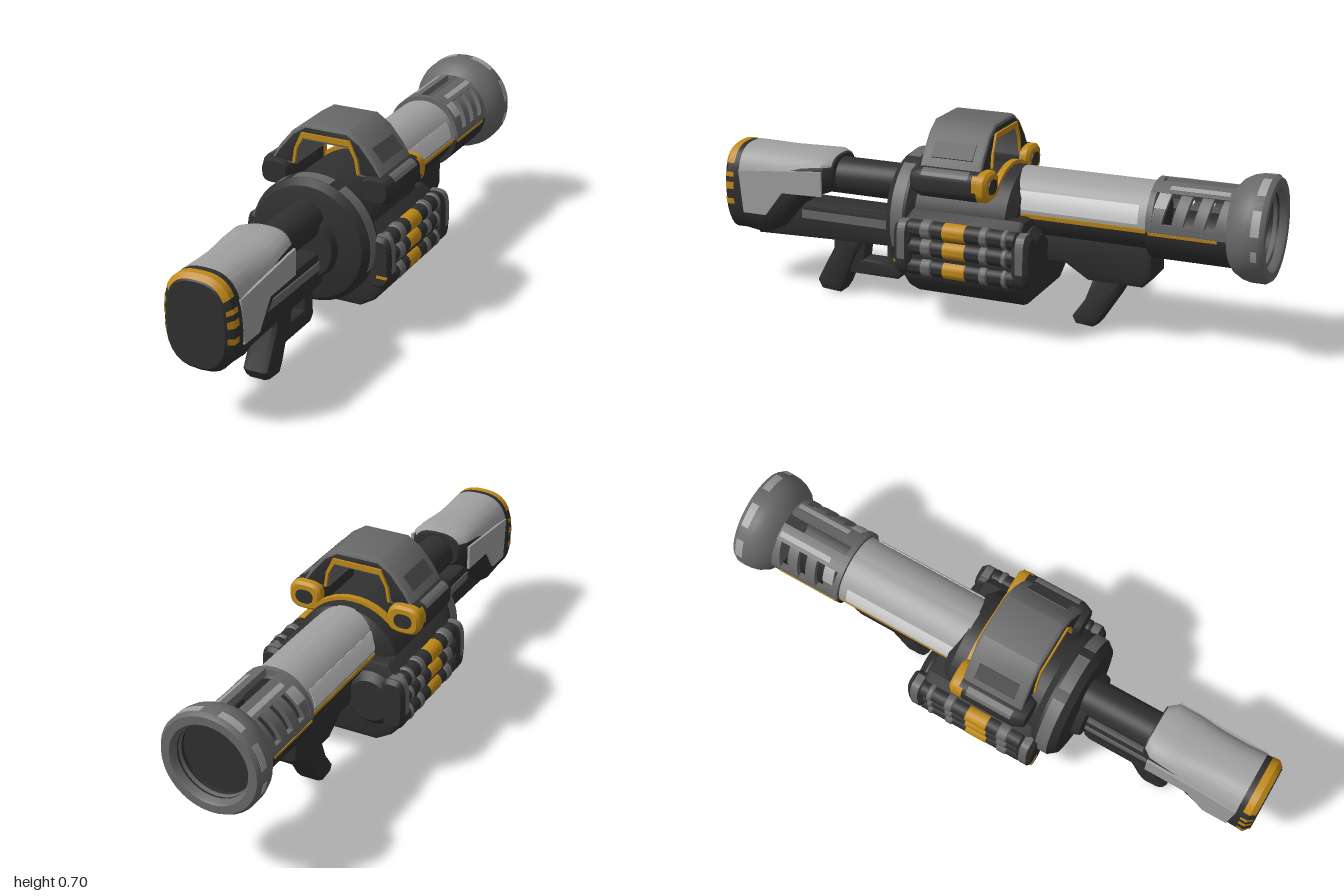
import * as THREE from 'three';
import { toCreasedNormals } from 'three/addons/utils/BufferGeometryUtils.js';

const paint = (name, color, side = THREE.FrontSide) => {
  const m = new THREE.MeshStandardMaterial({ color, side });
  m.name = name;
  return m;
};

export function createModel() {
  const root = new THREE.Group();
  root.name = 'shoulderLauncher';
  const dark = paint('charcoal', 0x303030, THREE.DoubleSide);
  const slate = paint('slate', 0x484848);
  const gray = paint('wornGray', 0x686868, THREE.DoubleSide);
  const light = paint('lightSteel', 0xa0a0a0, THREE.DoubleSide);
  const pale = paint('brightSteel', 0xd0d0d0);
  const gold = paint('goldTrim', 0xc08a18, THREE.DoubleSide);
  const rad = THREE.MathUtils.degToRad;

  const add = (name, geo, mat, x = 0, y = 0, z = 0) => {
    const mesh = new THREE.Mesh(toCreasedNormals(geo, 0.6), mat);
    mesh.name = name;
    mesh.position.set(x, y, z);
    root.add(mesh);
    return mesh;
  };

  // Revolved part along z, profile of [radius, z] with z rising
  const turned = (pts, n = 32) =>
    new THREE.LatheGeometry(pts.map(p => new THREE.Vector2(...p)), n).rotateX(Math.PI / 2);
  const rod = (r, z0, z1, b = 0.012, n = 32) =>
    turned([[0, z0], [r - b, z0], [r, z0 + b], [r, z1 - b], [r - b, z1], [0, z1]], n);

  // Superellipse sections [z, centreY, halfX, halfY], full and capped or a partial skin
  const loft = (secs, p = 3, a0 = 0, a1 = 360, n = 28) => {
    const pos = [], idx = [], full = a1 - a0 >= 360;
    const pw = v => Math.sign(v) * Math.abs(v) ** (2 / p);
    for (const [z, cy, hx, hy] of secs)
      for (let j = 0; j <= n; j++) {
        const a = rad(a0 + (a1 - a0) * j / n);
        pos.push(hx * pw(Math.cos(a)), cy + hy * pw(Math.sin(a)), z);
      }
    const w = n + 1, last = (secs.length - 1) * w;
    for (let i = 0; i < secs.length - 1; i++)
      for (let j = 0; j < n; j++) {
        const a = i * w + j;
        idx.push(a, a + 1, a + w, a + 1, a + w + 1, a + w);
      }
    if (full) for (let j = 1; j < n - 1; j++)
      idx.push(0, j + 1, j, last, last + j, last + j + 1);
    const g = new THREE.BufferGeometry();
    g.setAttribute('position', new THREE.Float32BufferAttribute(pos, 3));
    g.setIndex(idx);
    g.computeVertexNormals();
    return g;
  };

  // Box bent round the z axis; skew slides its upper end along z
  const arcPlate = (a0, a1, r0, r1, z0, z1, skew = 0) => {
    const g = new THREE.BoxGeometry(1, 1, 1, Math.max(3, Math.ceil((a1 - a0) / 9)));
    const p = g.attributes.position;
    for (let i = 0; i < p.count; i++) {
      const a = rad(a1 + (a0 - a1) * (p.getX(i) + 0.5));
      const r = r0 + (r1 - r0) * (p.getY(i) + 0.5);
      const z = z0 + (z1 - z0) * (p.getZ(i) + 0.5) + skew * Math.sin(a);
      p.setXYZ(i, r * Math.cos(a), r * Math.sin(a), z);
    }
    return g;
  };

  const outline = pts => new THREE.Shape(pts.map(p => new THREE.Vector2(...p)));
  const extrude = (shape, depth, bevel) => new THREE.ExtrudeGeometry(shape, {
    depth: depth - 2 * bevel, bevelEnabled: bevel > 0, bevelSize: bevel,
    bevelThickness: bevel, bevelOffset: -bevel, bevelSegments: 2,
  }).translate(0, 0, bevel - depth / 2);
  // Side profile of [z, y], extruded across x
  const sideCut = (pts, width, bevel = 0.02, hole) => {
    const s = outline(pts);
    if (hole) s.holes.push(new THREE.Path(hole.map(p => new THREE.Vector2(...p))));
    return extrude(s, width, bevel).rotateY(-Math.PI / 2);
  };

  // Stock
  add('stockBody', loft([[0.57, 0.45, 0.085, 0.06], [0.6, 0.447, 0.108, 0.07], [0.68, 0.43, 0.112, 0.085],
    [0.78, 0.37, 0.113, 0.145], [0.86, 0.352, 0.115, 0.165], [0.94, 0.36, 0.12, 0.16],
    [0.98, 0.36, 0.122, 0.16], [1, 0.36, 0.1, 0.143]], 2.7), dark);
  add('stockTopShell', loft([[0.575, 0.45, 0.09, 0.066], [0.605, 0.447, 0.114, 0.076], [0.68, 0.43, 0.118, 0.091],
    [0.78, 0.37, 0.118, 0.151], [0.86, 0.352, 0.12, 0.171], [0.935, 0.36, 0.123, 0.163]], 2.7, 22, 158), light);
  // End trim: one band over the top and chipped patches down each side
  const trims = [[32, 148]];
  for (const a of [13, 1, -11]) trims.push([a, a + 6], [174 - a, 180 - a]);
  for (const [a0, a1] of trims)
    add('stockEndTrim', loft([[0.955, 0.36, 0.1235, 0.1625], [0.98, 0.36, 0.1235, 0.1625],
      [0.997, 0.36, 0.107, 0.148]], 2.7, a0, a1), gold);
  for (const s of [1, -1]) {
    add('stockSidePanel', sideCut([[0.6, 0.38], [0.76, 0.375], [0.83, 0.285], [0.92, 0.285],
      [0.935, 0.44], [0.6, 0.47]], 0.009, 0), light, s * 0.115);
    add('railStrip', new THREE.BoxGeometry(0.008, 0.03, 0.37), gray, s * 0.062, 0.29, 0.525);
  }
  add('stockTube', rod(0.066, 0.26, 0.62), dark, 0, 0.435);
  add('lowerRail', sideCut([[0.24, 0.21], [0.62, 0.2], [0.9, 0.19], [0.88, 0.335], [0.24, 0.335]], 0.124), dark);

  // Grips and trigger guard
  add('rearGrip', sideCut([[0.46, 0.24], [0.6, 0.24], [0.6, 0.17], [0.67, 0.04], [0.65, 0.005],
    [0.58, 0], [0.56, 0.03], [0.51, 0.15]], 0.1, 0.022), dark);
  add('triggerGuard', sideCut([[0.33, 0.23], [0.33, 0.1], [0.35, 0.08], [0.54, 0.08], [0.54, 0.23]], 0.07, 0.01,
    [[0.39, 0.21], [0.39, 0.14], [0.48, 0.14], [0.47, 0.21]]), dark);
  add('handguard', sideCut([[-0.18, 0.36], [-0.18, 0.24], [-0.3, 0.24], [-0.38, 0.19], [-0.57, 0.19],
    [-0.61, 0.23], [-0.61, 0.36]], 0.15, 0.025), dark);
  add('foreGrip', sideCut([[-0.4, 0.22], [-0.52, 0.22], [-0.48, 0.14], [-0.41, 0.03], [-0.39, 0.015],
    [-0.33, 0.02], [-0.315, 0.045], [-0.36, 0.11]], 0.1, 0.022), dark);

  // Receiver and magazine drum
  add('frontRing', turned([[0, 0.2], [0.2, 0.2], [0.22, 0.225], [0.22, 0.28], [0.2, 0.305],
    [0.17, 0.312], [0.12, 0.318], [0.11, 0.345], [0, 0.345]], 40), dark, 0, 0.345);
  for (const [a0, a1] of [[-20, 62], [72, 108], [118, 200]])
    add('frontRingWear', arcPlate(a0, a1, 0.214, 0.2215, 0.235, 0.279), gray, 0, 0.345);
  add('receiver', rod(0.2, -0.16, 0.24, 0.03, 40), dark, 0, 0.345);
  add('drumBody', extrude(outline([[-0.15, 0.105], [0.15, 0.105], [0.2, 0.135], [0.24, 0.18], [0.25, 0.23],
    [0.245, 0.36], [0.19, 0.41], [-0.19, 0.41], [-0.245, 0.36], [-0.25, 0.23], [-0.24, 0.18], [-0.2, 0.135]]),
    0.43, 0.02), dark, 0, 0, 0.01);
  for (const s of [1, -1]) {
    add('drumRearLobe', rod(0.1, -0.24, 0, 0.025), dark, s * 0.14, 0.28);
    for (const z of [0.215, -0.215]) {
      add('drumCorner', loft([[z - 0.03, 0.288, 0.035, 0.08], [z - 0.015, 0.288, 0.045, 0.093],
        [z + 0.015, 0.288, 0.045, 0.093], [z + 0.03, 0.288, 0.035, 0.08]], 3.5), dark, s * 0.226);
      add('drumCornerWear', loft([[z - 0.014, 0.288, 0.0465, 0.0945], [z + 0.014, 0.288, 0.0465, 0.0945]], 3.5,
        s > 0 ? -10 : 80, s > 0 ? 100 : 190), gray, s * 0.226);
    }
    add('drumFrontLine', new THREE.BoxGeometry(0.04, 0.01, 0.008), gold, s * 0.243, 0.242, 0.243);
    // Three stacked shells, banded along their length
    for (const y of [0.225, 0.295, 0.358]) {
      add('shellCore', rod(0.03, -0.2, 0.2, 0.008, 14), dark, s * 0.236, y);
      add('shellGoldBand', rod(0.031, -0.02, 0.07, 0.006, 14), gold, s * 0.237, y);
      for (const [z0, z1] of [[0.1, 0.155], [-0.105, -0.06], [-0.175, -0.14]])
        add('shellGrayBand', rod(0.034, z0, z1, 0.012, 14), gray, s * 0.236, y);
    }
  }

  // Carry handle with hollow side housings
  const archIn = [[0.118, 0.55], [0.108, 0.61], [0.085, 0.642], [-0.085, 0.642], [-0.108, 0.61], [-0.118, 0.55]];
  add('handleArch', extrude(outline([[-0.215, 0.55], [-0.18, 0.61], [-0.13, 0.67], [-0.08, 0.703], [0.08, 0.703],
    [0.13, 0.67], [0.18, 0.61], [0.215, 0.55], ...archIn]), 0.225, 0.012), [dark, gray], 0, 0, 0.06);
  const rim = outline([[-0.125, 0.56], [-0.117, 0.615], [-0.09, 0.674], [0.09, 0.674], [0.117, 0.615], [0.125, 0.56],
    [0.116, 0.56], [0.107, 0.613], [0.084, 0.655], [-0.084, 0.655], [-0.107, 0.613], [-0.116, 0.56]]);
  for (const z of [0.174, -0.055]) add('handleRim', extrude(rim, 0.009, 0), gold, 0, 0, z);
  for (const s of [1, -1]) {
    const panel = add('handleSidePanel', new THREE.BoxGeometry(0.06, 0.006, 0.15), slate, s * 0.171, 0.621, 0.06);
    panel.rotation.z = -s * 0.876;
    add('sideHousing', loft([[-0.05, 0.518, 0.06, 0.052], [0.16, 0.518, 0.06, 0.052],
      [0.195, 0.52, 0.045, 0.038]], 3), dark, s * 0.187);
    add('housingTopWear', loft([[-0.02, 0.518, 0.061, 0.053], [0.15, 0.518, 0.061, 0.053]], 3,
      s > 0 ? 25 : 110, s > 0 ? 70 : 155), gray, s * 0.187);
    add('housingGoldEnd', loft([[-0.085, 0.518, 0.05, 0.042], [-0.075, 0.518, 0.06, 0.051],
      [-0.05, 0.518, 0.06, 0.051]], 3), gold, s * 0.187);
    add('housingGoldChip', loft([[-0.055, 0.518, 0.061, 0.053], [-0.035, 0.518, 0.061, 0.053]], 3,
      s > 0 ? -5 : 130, s > 0 ? 50 : 185), gold, s * 0.187);
    add('housingSocket', loft([[-0.089, 0.518, 0.032, 0.025], [-0.084, 0.518, 0.032, 0.025]], 2.5), dark, s * 0.187);
  }
  add('goldCrossBar', arcPlate(42, 138, 0.19, 0.213, -0.085, -0.063), gold, 0, 0.345);

  // Barrel
  const by = 0.425;
  add('barrelCore', rod(0.115, -0.62, -0.1), dark, 0, by);
  add('barrelTopShell', arcPlate(-3, 183, 0.11, 0.122, -0.605, -0.125), light, 0, by);
  for (const s of [1, -1]) {
    const side = (a0, a1) => s > 0 ? [a0, a1] : [180 - a1, 180 - a0];
    add('barrelBrightStrip', arcPlate(...side(3, 33), 0.118, 0.124, -0.57, -0.135), pale, 0, by);
    add('barrelGoldLine', arcPlate(...side(-10, -3), 0.112, 0.124, -0.61, -0.125), gold, 0, by);
    add('ventGoldLine', arcPlate(...side(-9, -5), 0.125, 0.137, -0.84, -0.61), gold, 0, by);
    // Slanted ribs leave open vents between them
    for (const z of [-0.63, -0.702, -0.773, -0.845])
      add('ventRib', arcPlate(...side(0, 62), 0.118, 0.135, z - 0.019, z + 0.019, -0.025), gray, 0, by);
    add('ventRibWear', arcPlate(...side(30, 60), 0.13, 0.137, -0.65, -0.61, -0.025), light, 0, by);
    add('ventRoofRail', arcPlate(...side(54, 80), 0.116, 0.138, -0.88, -0.6), gray, 0, by);
    add('ventRailWear', arcPlate(...side(60, 68), 0.13, 0.1395, -0.86, -0.66), light, 0, by);
    add('ventSideRail', arcPlate(...side(-5, 8), 0.116, 0.135, -0.88, -0.6), gray, 0, by);
    for (const [a0, a1, z0, z1] of [[8, 35, -0.985, -0.957], [52, 80, -0.985, -0.957], [-20, -8, -0.98, -0.96]])
      add('muzzleWear', arcPlate(...side(a0, a1), 0.174, 0.1795, z0, z1), light, 0, 0.432);
  }
  add('ventFloor', arcPlate(180, 360, 0.11, 0.134, -0.88, -0.6), dark, 0, by);
  add('ventCollar', arcPlate(0, 180, 0.115, 0.137, -0.62, -0.6), gray, 0, by);

  // Flared muzzle
  add('muzzle', turned([[0.125, -0.955], [0.132, -0.99], [0.14, -1], [0.168, -1], [0.178, -0.985], [0.178, -0.94],
    [0.172, -0.915], [0.155, -0.885], [0.13, -0.865], [0, -0.865]], 40), gray, 0, 0.432);
  add('muzzleBore', turned([[0, -0.94], [0.126, -0.94], [0.128, -0.975]], 40), dark, 0, 0.432);
  return root;
}
